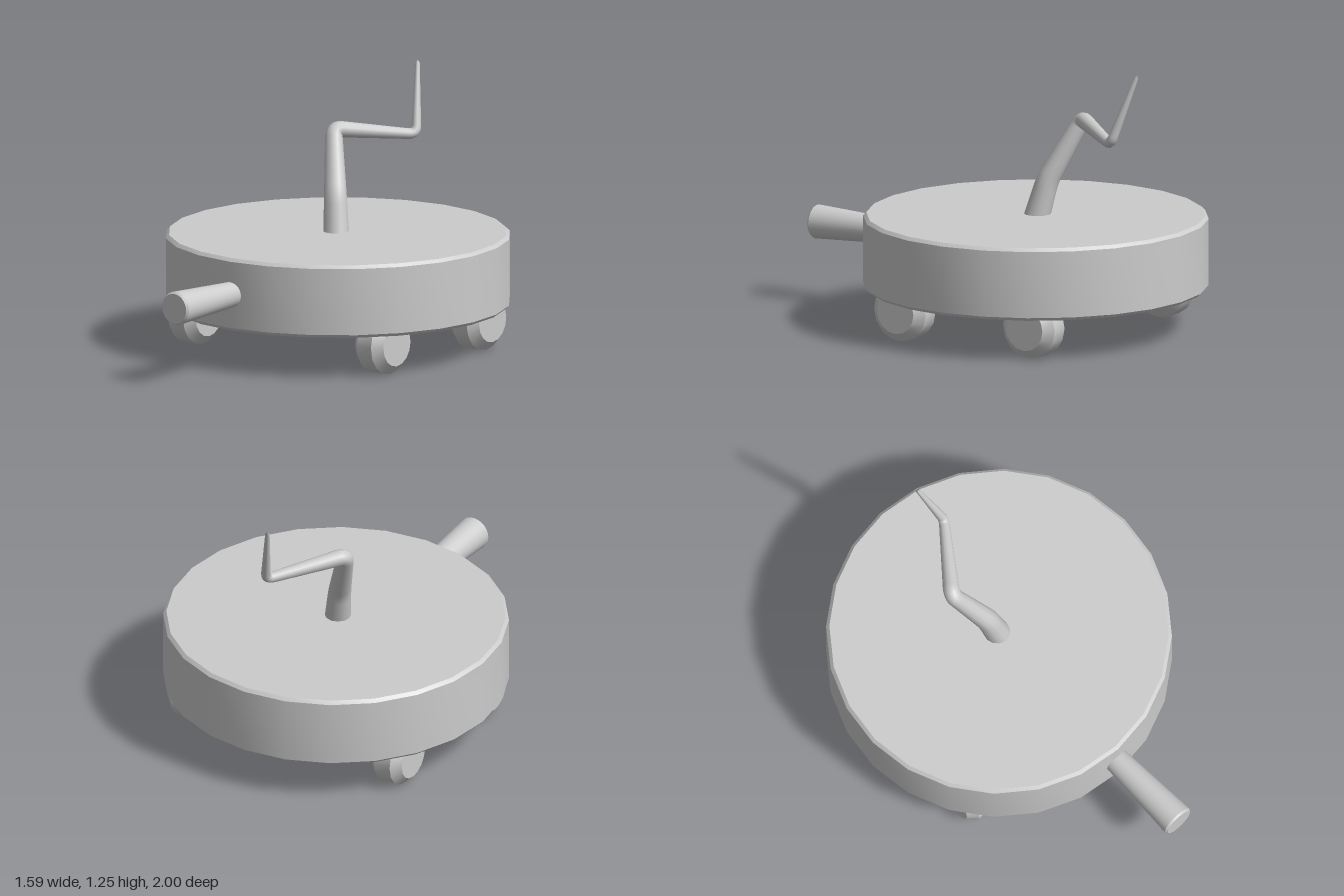
import * as THREE from 'three';
import { toCreasedNormals } from 'three/addons/utils/BufferGeometryUtils.js';

const grey = new THREE.MeshStandardMaterial({ color: 0xcccccc });

// Revolve [radius, height] pairs around y, keeping chamfers crisp
function turned(name, profile, sides) {
  const geometry = new THREE.LatheGeometry(profile.map(([r, y]) => new THREE.Vector2(r, y)), sides);
  const mesh = new THREE.Mesh(toCreasedNormals(geometry, 0.55), grey);
  mesh.name = name;
  return mesh;
}

// Polyline with slightly rounded corners
function bentPath(points, round) {
  const path = new THREE.CurvePath();
  let from = points[0];
  for (let i = 1; i < points.length - 1; i++) {
    const corner = points[i];
    const toward = (p) => corner.clone().add(p.clone().sub(corner).setLength(round));
    const enter = toward(points[i - 1]), leave = toward(points[i + 1]);
    path.add(new THREE.LineCurve3(from, enter));
    path.add(new THREE.QuadraticBezierCurve3(enter, corner, leave));
    from = leave;
  }
  path.add(new THREE.LineCurve3(from, points[points.length - 1]));
  return path;
}

// Tube narrowing from r0 to r1, with its last ring closed into a cap
function taperedTube(path, r0, r1, steps, sides) {
  const geometry = new THREE.TubeGeometry(path, steps, 1, sides);
  const pos = geometry.attributes.position;
  const v = new THREE.Vector3();
  for (let i = 0; i <= steps; i++) {
    const t = i / steps;
    const centre = path.getPointAt(t);
    const radius = i === steps ? 0 : r0 + (r1 - r0) * t;
    for (let j = 0; j <= sides; j++) {
      const k = i * (sides + 1) + j;
      v.fromBufferAttribute(pos, k).sub(centre).multiplyScalar(radius).add(centre);
      pos.setXYZ(k, v.x, v.y, v.z);
    }
  }
  return geometry;
}

export function createModel() {
  const model = new THREE.Group();
  model.name = 'wheeledDisc';

  // Chamfered drum body
  const body = turned('body', [
    [0, 0.195], [0.78, 0.195], [0.795, 0.21], [0.795, 0.52], [0.78, 0.535], [0, 0.535],
  ], 24);
  body.position.z = -0.205;
  model.add(body);

  // Front nozzle, flaring forward
  const nozzle = turned('nozzle', [
    [0, 0.5], [0.055, 0.5], [0.0785, 0.99], [0.07, 1], [0, 1],
  ], 24);
  nozzle.rotation.x = Math.PI / 2;
  nozzle.position.y = 0.365;
  model.add(nozzle);

  // Four chamfered wheels
  for (const side of [-1, 1]) {
    for (const z of [0.155, -0.55]) {
      const wheel = turned('wheel', [
        [0, -0.083], [0.1, -0.083], [0.141, -0.042], [0.141, 0.042], [0.1, 0.083], [0, 0.083],
      ], 16);
      wheel.rotation.z = Math.PI / 2;
      wheel.position.set(side * 0.552, 0.141, z);
      model.add(wheel);
    }
  }

  // Crooked tapering antenna
  const path = bentPath([
    new THREE.Vector3(-0.005, 0.5, -0.2),
    new THREE.Vector3(-0.042, 0.69, -0.24),
    new THREE.Vector3(-0.15, 0.972, -0.362),
    new THREE.Vector3(0.09, 0.928, -0.67),
    new THREE.Vector3(0.018, 1.25, -0.77),
  ], 0.04);
  const antenna = new THREE.Mesh(taperedTube(path, 0.061, 0.01, 120, 12), grey);
  antenna.name = 'antenna';
  model.add(antenna);

  return model;
}
